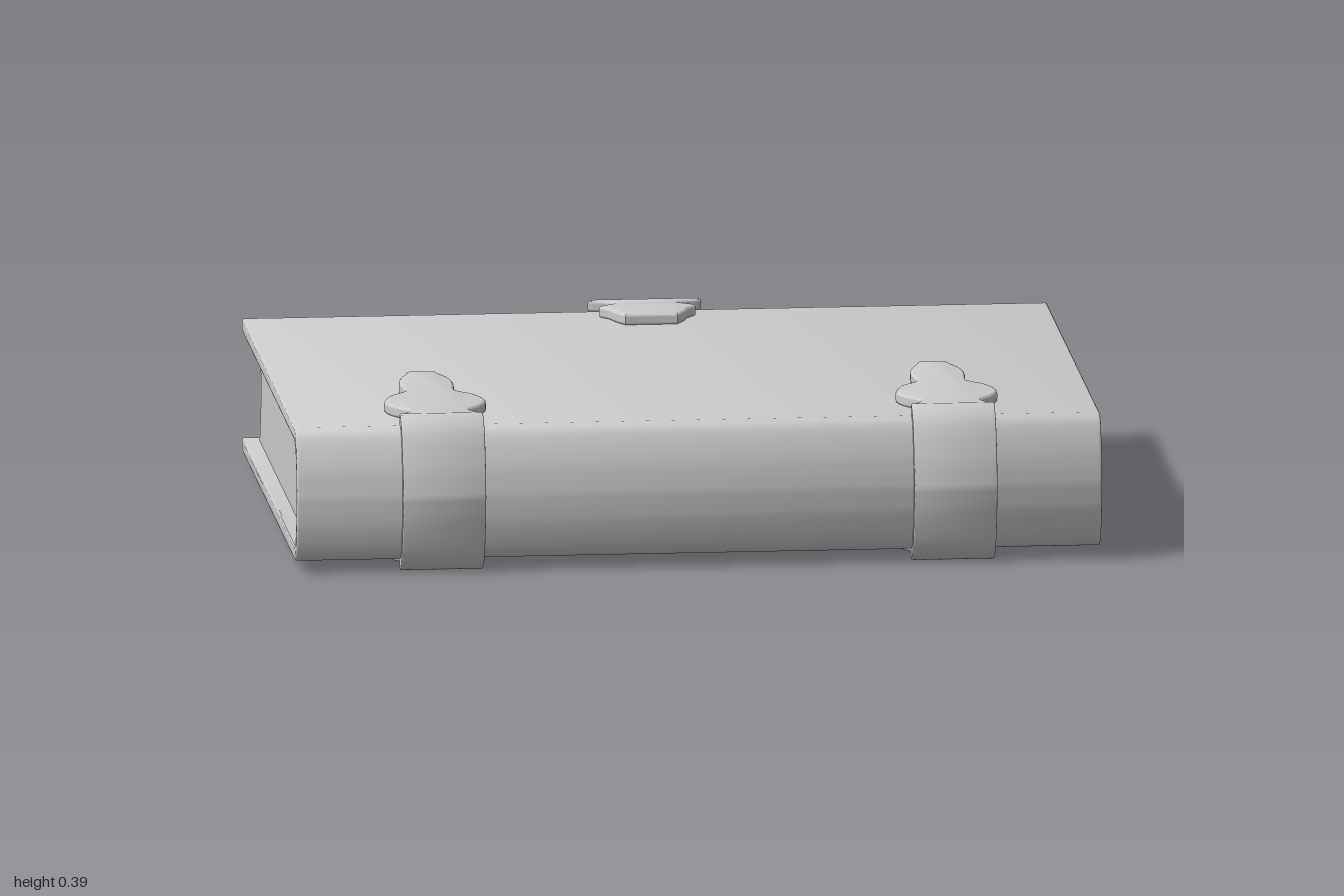
import * as THREE from 'three';
import { toCreasedNormals } from 'three/addons/utils/BufferGeometryUtils.js';

const MID = 0.198; // height of the book's mid-plane
const material = new THREE.MeshStandardMaterial({ color: 0xcccccc, side: THREE.DoubleSide });

const vectors = (list) => list.map(([a, b]) => new THREE.Vector2(a, b));

// Smooth line through a few points
const smooth = (list, n = 24) => new THREE.SplineCurve(vectors(list)).getPoints(n);

// Complete a half profile (z, height above mid-plane, ending at height 0) with its mirror image
function mirrored(half) {
  const below = half.slice(0, -1).reverse().map((p) => new THREE.Vector2(p.x, -p.y));
  return [...half, ...below];
}

function extrude(points, depth, bevel) {
  const geometry = new THREE.ExtrudeGeometry(new THREE.Shape(points), {
    depth: depth - 2 * bevel, bevelEnabled: bevel > 0, bevelSize: bevel,
    bevelThickness: bevel, bevelOffset: -bevel, bevelSegments: 3,
  });
  geometry.translate(0, 0, -(depth - 2 * bevel) / 2);
  return geometry;
}

function mesh(name, geometry, x, y) {
  const part = new THREE.Mesh(toCreasedNormals(geometry, 0.6), material);
  part.name = name;
  part.position.set(x, y, 0);
  return part;
}

// Side profile in (z, y) swept along x
const sweep = (name, points, width, bevel, x = 0) =>
  mesh(name, extrude(points, width, bevel).rotateY(-Math.PI / 2), x, MID);

// Flat ornament, symmetric in x, from a list of (half width, z)
function ornament(name, outline, x, side) {
  const right = smooth(outline, 48);
  const left = right.slice().reverse().map((p) => new THREE.Vector2(-p.x, p.y));
  const geometry = extrude([...right, ...left], 0.03, 0.008).rotateX(Math.PI / 2);
  return mesh(name, geometry, x, MID + side * 0.181);
}

export function createModel() {
  const book = new THREE.Group();
  book.name = 'book';

  // Cover: two boards joined by a rounded spine, with rounded fore edges
  const outer = mirrored([
    ...vectors([[-0.698, 0.142], [-0.698, 0.158], [-0.688, 0.168]]),
    ...smooth([[0.65, 0.168], [0.68, 0.148], [0.706, 0.075], [0.714, 0]], 14),
  ]);
  const inner = mirrored([
    ...vectors([[-0.69, 0.133]]),
    ...smooth([[0.642, 0.133], [0.67, 0.11], [0.69, 0.055], [0.698, 0]], 14),
  ]);
  book.add(sweep('cover', [...outer, ...inner.reverse()], 2, 0.006));

  // Page block: rounded at the spine, hollowed at the fore edge
  const back = mirrored(smooth([[0.645, 0.134], [0.672, 0.11], [0.692, 0.055], [0.7, 0]], 14));
  const front = mirrored(smooth([[-0.652, 0.134], [-0.626, 0.06], [-0.617, 0]], 12));
  book.add(sweep('pages', [...back, ...front.reverse()], 1.92, 0));

  // Two hinges: a band round the spine and an ornament on each board
  const hingeOutline = [
    [0.037, 0.125], [0.042, 0.15], [0.06, 0.2], [0.067, 0.26], [0.062, 0.345], [0.075, 0.375],
    [0.105, 0.41], [0.126, 0.48], [0.112, 0.535], [0.08, 0.58], [0.078, 0.605], [0.1, 0.64], [0.103, 0.66],
  ];
  const bandOuter = mirrored(smooth([[0.635, 0.195], [0.657, 0.194], [0.695, 0.157], [0.724, 0.075], [0.736, 0]], 20));
  const bandInner = mirrored(smooth([[0.635, 0.165], [0.65, 0.165], [0.678, 0.145], [0.704, 0.075], [0.712, 0]], 20));
  for (const x of [-0.635, 0.635]) {
    const hinge = new THREE.Group();
    hinge.name = x > 0 ? 'leftHinge' : 'rightHinge';
    hinge.add(sweep('hingeBand', [...bandOuter, ...bandInner.slice().reverse()], 0.206, 0.003, x));
    for (const side of [1, -1]) hinge.add(ornament('hingePlate', hingeOutline, x, side));
    book.add(hinge);
  }

  // Clasp: a thin curved strap over the fore edge between two small ornaments
  const clasp = new THREE.Group();
  clasp.name = 'clasp';
  const claspOutline = [
    [0.065, -0.515], [0.085, -0.55], [0.1, -0.59], [0.12, -0.618], [0.108, -0.635],
    [0.08, -0.657], [0.1, -0.677], [0.138, -0.69], [0.138, -0.702],
  ];
  for (const side of [1, -1]) clasp.add(ornament('claspPlate', claspOutline, 0, side));
  const strapOuter = mirrored(smooth([[-0.69, 0.194], [-0.705, 0.186], [-0.718, 0.155], [-0.731, 0.08], [-0.736, 0]], 20));
  const strapInner = mirrored(smooth([[-0.69, 0.18], [-0.698, 0.174], [-0.709, 0.15], [-0.722, 0.08], [-0.727, 0]], 20));
  clasp.add(sweep('claspStrap', [...strapOuter, ...strapInner.reverse()], 0.272, 0.002));
  book.add(clasp);

  return book;
}
